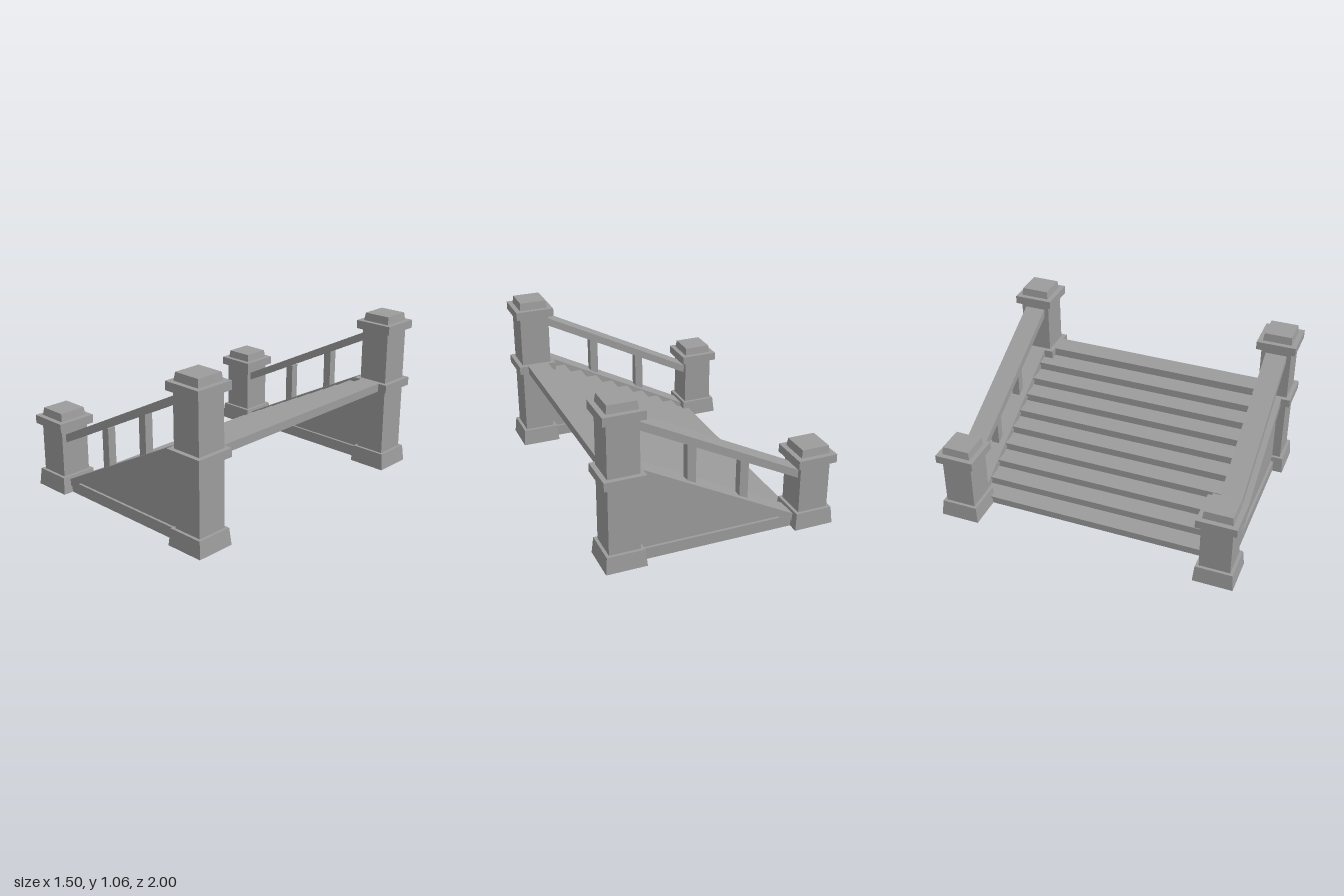
import * as THREE from 'three';

const material = new THREE.MeshStandardMaterial({ color: 0x9c9c9c, flatShading: true, side: THREE.DoubleSide });

function add(parent, name, geometry, x, y, z) {
  const mesh = new THREE.Mesh(geometry, material);
  mesh.name = name;
  mesh.position.set(x, y, z);
  parent.add(mesh);
  return mesh;
}

// Box given by its x and y ranges, centre z and depth
function box(parent, name, x0, x1, y0, y1, z, depth) {
  return add(parent, name, new THREE.BoxGeometry(x1 - x0, y1 - y0, depth), (x0 + x1) / 2, (y0 + y1) / 2, z);
}

// Square block that tapers from half width a to half width b
function taper(parent, name, a, b, y0, y1) {
  const g = new THREE.CylinderGeometry(b * Math.SQRT2, a * Math.SQRT2, y1 - y0, 4);
  g.rotateY(Math.PI / 4);
  return add(parent, name, g, 0, (y0 + y1) / 2, 0);
}

// Side outline extruded across z, centred on the given z
function slab(parent, name, points, z, depth) {
  const shape = new THREE.Shape(points.map(([x, y]) => new THREE.Vector2(x, y)));
  const g = new THREE.ExtrudeGeometry(shape, { depth, bevelEnabled: false });
  return add(parent, name, g, 0, 0, z - depth / 2);
}

// Removes the faces lying on the ground, leaving a hollow shell
function openBottom(mesh) {
  const source = mesh.geometry.index ? mesh.geometry.toNonIndexed() : mesh.geometry;
  source.computeBoundingBox();
  const limit = source.boundingBox.min.y + 1e-4;
  const p = source.attributes.position.array;
  const kept = [];
  for (let i = 0; i < p.length; i += 9) {
    if (Math.max(p[i + 1], p[i + 4], p[i + 7]) > limit) kept.push(...p.slice(i, i + 9));
  }
  mesh.geometry = new THREE.BufferGeometry();
  mesh.geometry.setAttribute('position', new THREE.Float32BufferAttribute(kept, 3));
  mesh.geometry.computeVertexNormals();
}

function post(parent, name, x, z, capY, collar) {
  const g = new THREE.Group();
  g.name = name;
  g.position.set(x, 0, z);
  openBottom(taper(g, 'postBase', 0.13, 0.12, 0, 0.11));
  box(g, 'postShaft', -0.1, 0.1, 0.11, capY, 0, 0.2);
  if (collar) box(g, 'postCollar', -0.13, 0.13, 0.555, 0.61, 0, 0.26);
  box(g, 'postCap', -0.13, 0.13, capY, capY + 0.055, 0, 0.26);
  taper(g, 'postTop', 0.097, 0.09, capY + 0.055, capY + 0.106);
  parent.add(g);
}

export function createModel() {
  const model = new THREE.Group();
  model.name = 'staircase';

  for (const side of [1, -1]) {
    const z = side * 0.87;
    const balustrade = new THREE.Group();
    balustrade.name = side > 0 ? 'frontBalustrade' : 'backBalustrade';
    model.add(balustrade);

    post(balustrade, 'lowPost', -0.622, z, 0.43, false);
    post(balustrade, 'tallPost', 0.622, z, 0.957, true);

    // Sloping rails, then the recessed side panel and bottom rail, open below
    slab(balustrade, 'handrail', [[-0.53, 0.335], [0.53, 0.875], [0.53, 0.93], [-0.53, 0.39]], z, 0.14);
    slab(balustrade, 'stringerCap',
      [[-0.5, 0.038], [0.53, 0.565], [0.53, 0.61], [0.49, 0.61], [-0.5, 0.09]], z, 0.14);
    openBottom(slab(balustrade, 'sidePanel', [[-0.5, 0], [0.53, 0], [0.53, 0.575], [-0.5, 0.05]], z, 0.09));
    openBottom(slab(balustrade, 'bottomRail',
      [[-0.52, 0], [0.53, 0], [0.53, 0.075], [-0.43, 0.075], [-0.52, 0.03]], z, 0.124));

    // Balusters
    for (const x of [-0.174, 0.173]) {
      const foot = 0.33 + 0.525 * x;
      box(balustrade, 'baluster', x - 0.028, x + 0.028, foot, foot + 0.285, z, 0.056);
    }
  }

  // Thin treads with nosing over set-back risers
  const steps = new THREE.Group();
  steps.name = 'steps';
  model.add(steps);
  const rise = 0.0617, run = 0.1187, width = 1.64;
  for (let i = 0; i < 9; i++) {
    const x = -0.54 + i * run, top = (i + 1) * rise;
    box(steps, 'tread', x, x + run + 0.045, top - 0.016, top, 0, width);
    box(steps, 'riser', x + 0.014, x + 0.022, i * rise, top - 0.016, 0, width);
  }
  box(steps, 'landing', 0.545, 0.69, 0.555, 0.61, 0, width);

  return model;
}
